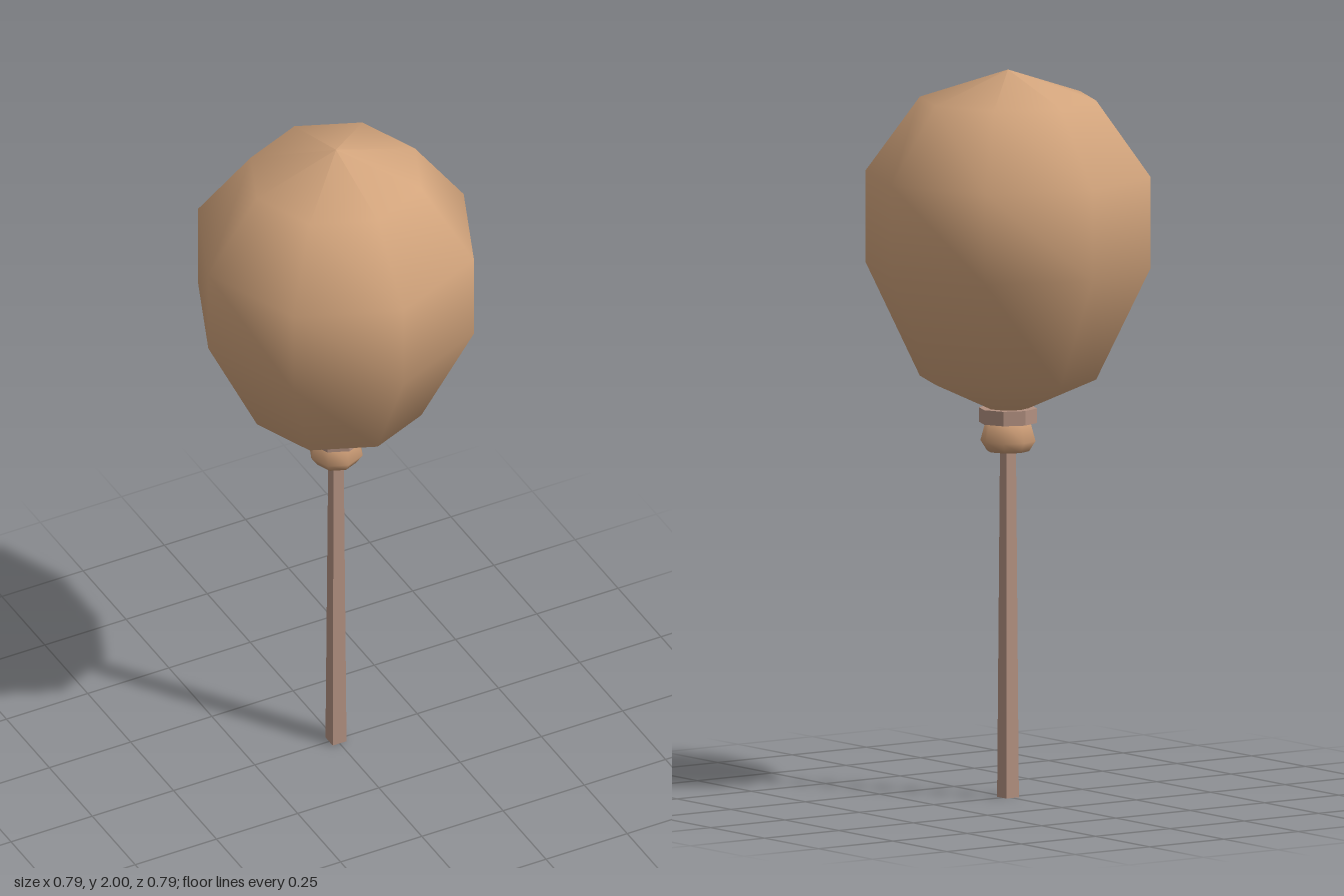
import * as THREE from 'three';

const material = (name, color, flatShading = false) => {
  const m = new THREE.MeshStandardMaterial({ color, flatShading });
  m.name = name;
  return m;
};

export function createModel() {
  const group = new THREE.Group();
  const tan = material('tan', 0xd2a47c);
  const caramel = material('caramel', 0xc99a74);
  const dustyBrown = material('dustyBrown', 0xb29080, true);

  const add = (name, geometry, mat, y = 0) => {
    const mesh = new THREE.Mesh(geometry, mat);
    mesh.name = name;
    mesh.position.y = y;
    group.add(mesh);
    return mesh;
  };

  // Eight-sided solid of revolution, profile listed from bottom to top
  const turned = (points) =>
    new THREE.LatheGeometry(points.map(([r, y]) => new THREE.Vector2(r, y)), 8);

  // Balloon: egg-shaped, smooth shaded
  add('balloon', turned([
    [0, 1.045], [0.243, 1.153], [0.393, 1.463], [0.393, 1.713], [0.243, 1.92], [0, 2],
  ]), tan);

  // Tie band around the neck
  add('band', new THREE.CylinderGeometry(0.08, 0.08, 0.04, 8), dustyBrown, 1.05);

  // Flared knot below the band
  add('knot', turned([
    [0, 0.952], [0.058, 0.952], [0.076, 0.98], [0.061, 1.035], [0, 1.035],
  ]), caramel);

  // Square stick, slightly tapered towards the top
  const stick = new THREE.CylinderGeometry(0.022, 0.03, 0.97, 4);
  stick.rotateY(Math.PI / 4);
  add('stick', stick, dustyBrown, 0.485);

  return group;
}
